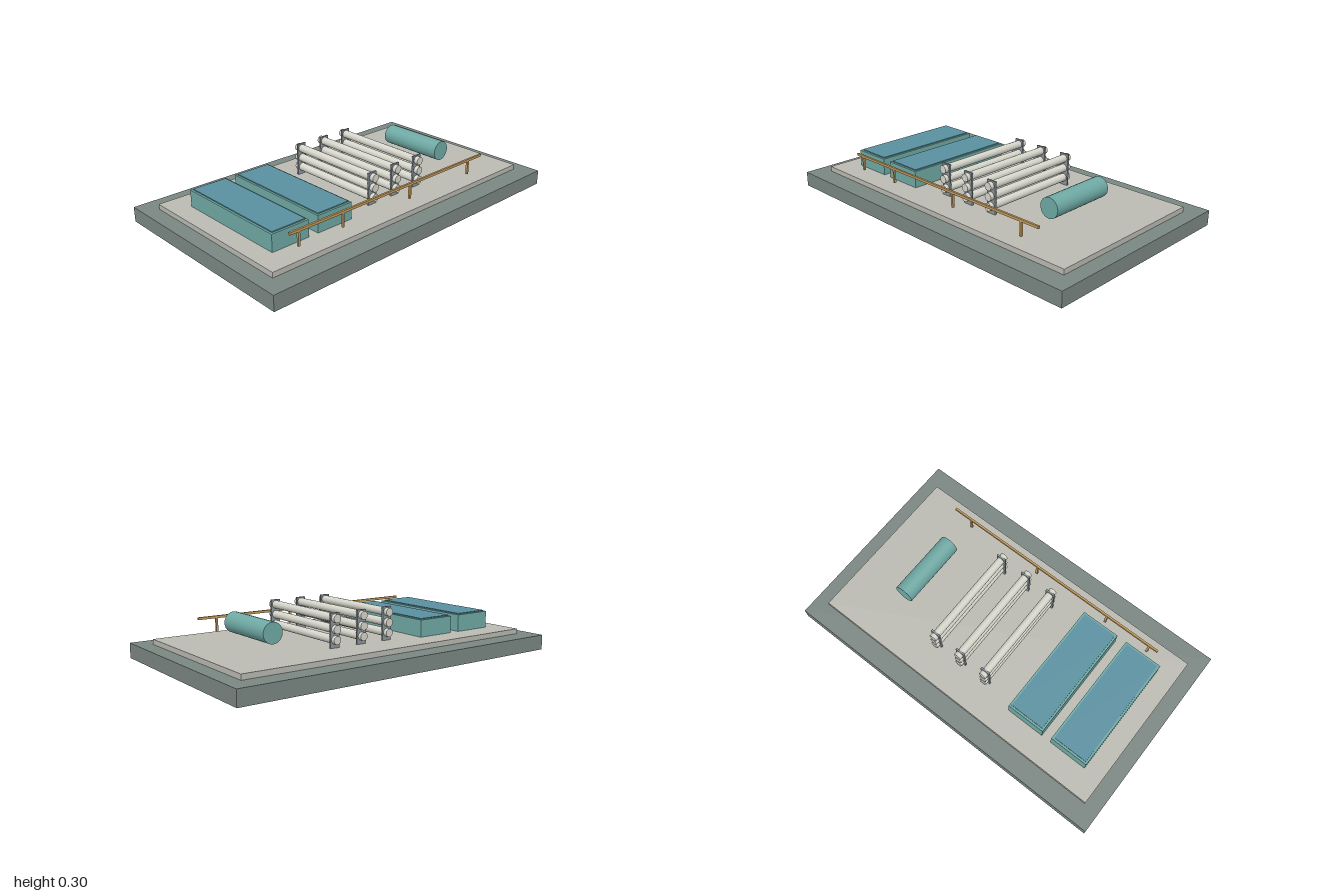
import * as THREE from 'three';

const material = (color) => new THREE.MeshStandardMaterial({ color });
const concrete = material(0x7a8682);
const paving = material(0xbabab2);
const teal = material(0x6fa9a4);
const water = material(0x5a90a0);
const pale = material(0xd6d6cc);
const steel = material(0x8b959a);
const ochre = material(0xc29a5b);

export function createModel() {
  const model = new THREE.Group();

  function add(name, geometry, mat, x, y, z, parent = model) {
    const mesh = new THREE.Mesh(geometry, mat);
    mesh.name = name;
    mesh.position.set(x, y, z);
    parent.add(mesh);
    return mesh;
  }

  // Box given by its bottom and top heights
  function box(name, mat, width, depth, bottom, top, x, z, parent) {
    const geometry = new THREE.BoxGeometry(width, top - bottom, depth);
    return add(name, geometry, mat, x, (bottom + top) / 2, z, parent);
  }

  // Cylinder lying along z
  function tube(name, mat, radius, length, x, y, parent) {
    const geometry = new THREE.CylinderGeometry(radius, radius, length, 24).rotateX(Math.PI / 2);
    return add(name, geometry, mat, x, y, 0, parent);
  }

  function group(name) {
    const g = new THREE.Group();
    g.name = name;
    model.add(g);
    return g;
  }

  // Ground
  box('base', concrete, 2, 1.2, 0, 0.085, 0, 0);
  box('slab', paving, 1.826, 0.97, 0.085, 0.114, 0, 0);

  // Settling basins with a water surface just above the rim
  for (const x of [-0.688, -0.403]) {
    const basin = group('basin');
    box('basinBody', teal, 0.227, 0.684, 0.114, 0.21, x, 0, basin);
    box('waterSurface', water, 0.204, 0.66, 0.2, 0.216, x, 0, basin);
  }

  // Filter racks: three stacked tubes through two end plates
  for (const x of [-0.088, 0.084, 0.256]) {
    const rack = group('filterRack');
    for (const y of [0.157, 0.213, 0.27]) tube('filterTube', pale, 0.0225, 0.628, x, y, rack);
    for (const z of [-0.286, 0.286]) box('endPlate', steel, 0.057, 0.01, 0.114, 0.298, x, z, rack);
  }

  // Horizontal pressure vessel
  tube('vessel', teal, 0.057, 0.4, 0.57, 0.214);

  // Front pipe rail on posts
  const rail = group('pipeRail');
  box('railBar', ochre, 1.428, 0.012, 0.207, 0.221, -0.03, 0.4, rail);
  for (const x of [-0.688, -0.403, 0.084, 0.57]) {
    box('railPost', ochre, 0.012, 0.012, 0.13, 0.207, x, 0.4, rail);
  }

  return model;
}
